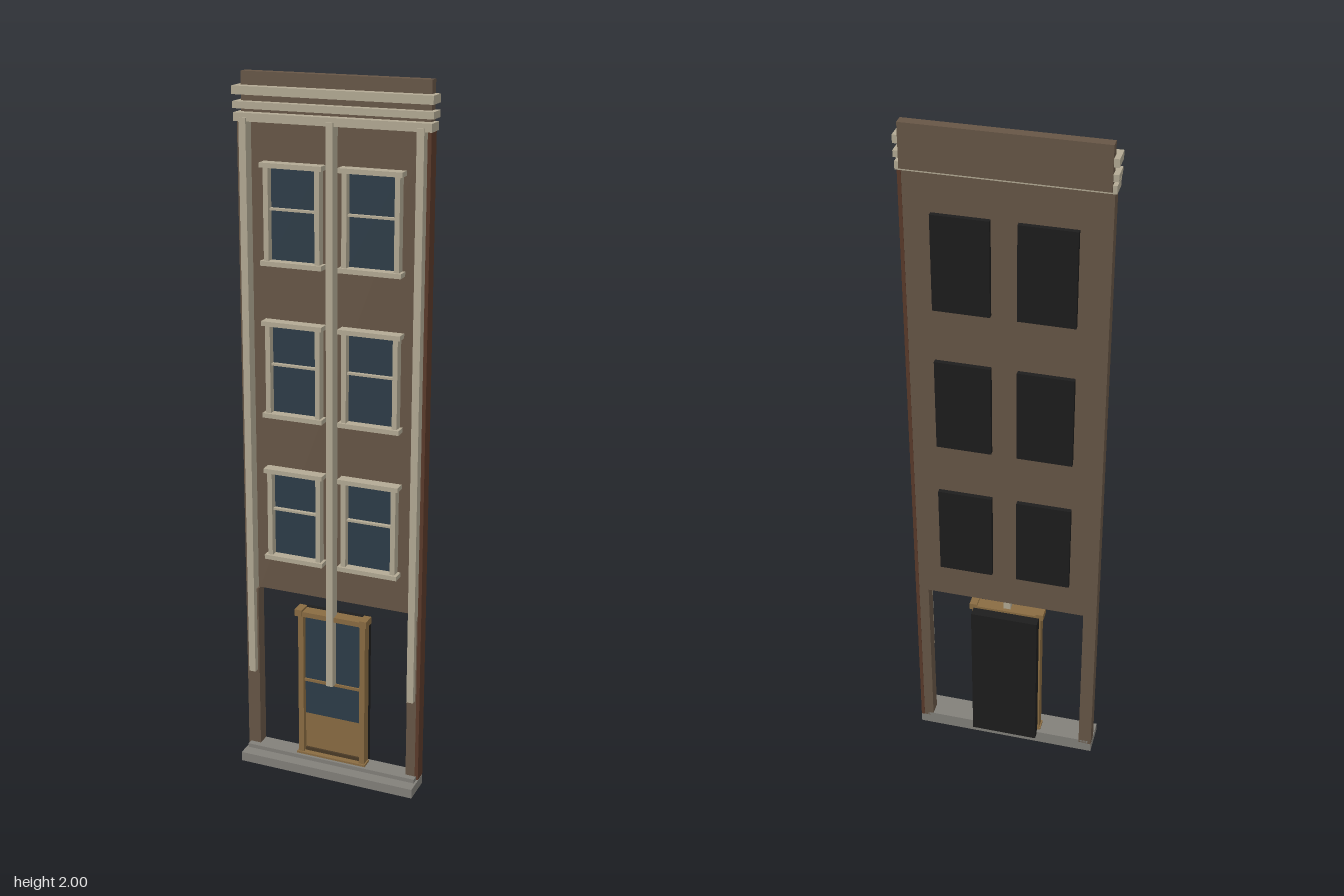
import * as THREE from 'three';

const mat = (name, color) => {
  const m = new THREE.MeshStandardMaterial({ color });
  m.name = name;
  return m;
};

export function createModel() {
  const model = new THREE.Group();
  model.name = 'townhouseFacade';
  const brick = mat('brownBrick', 0x675646);
  const sideBrick = mat('redBrownBrick', 0x5a3a2a);
  const trim = mat('paleStone', 0xb3aa94);
  const stone = mat('greyStone', 0x82807a);
  const wood = mat('tanWood', 0x8a6c42);
  const darkWood = mat('darkWood', 0x4a3a26);
  const glass = mat('blueGlass', 0x2d3c48);
  const black = mat('blackBacking', 0x1d1d1d);

  // Box given by its extents on each axis
  const box = (parent, name, material, x0, x1, y0, y1, z0, z1) => {
    const mesh = new THREE.Mesh(new THREE.BoxGeometry(x1 - x0, y1 - y0, z1 - z0), material);
    mesh.position.set((x0 + x1) / 2, (y0 + y1) / 2, (z0 + z1) / 2);
    mesh.name = name;
    parent.add(mesh);
    return mesh;
  };

  // Base slab and step
  box(model, 'baseSlab', stone, -0.268, 0.268, 0, 0.028, -0.037, 0.053);
  box(model, 'baseStep', stone, -0.262, 0.262, 0.028, 0.04, -0.037, 0.018);

  // Wall standing on two legs, open at street level
  const outline = [[-0.262, 0.03], [-0.23, 0.03], [-0.23, 0.545], [0.23, 0.545],
    [0.23, 0.03], [0.262, 0.03], [0.262, 1.9], [-0.262, 1.9]];
  const wallShape = new THREE.Shape(outline.map(([x, y]) => new THREE.Vector2(x, y)));
  const wall = new THREE.Mesh(
    new THREE.ExtrudeGeometry(wallShape, { depth: 0.022, bevelEnabled: false }), brick);
  wall.position.z = -0.037;
  wall.name = 'wall';
  model.add(wall);
  box(model, 'parapet', brick, -0.262, 0.262, 1.88, 2, -0.043, -0.015);

  // Side piers and the long thin pilasters
  for (const s of [-1, 1]) {
    box(model, 'sidePier', s > 0 ? sideBrick : brick,
      s * 0.263 - 0.005, s * 0.263 + 0.005, 0.03, 1.88, -0.038, 0);
    box(model, 'legFace', brick, s * 0.244 - 0.014, s * 0.244 + 0.014, 0.03, 0.545, -0.016, 0);
  }
  for (const x of [-0.245, 0, 0.245]) {
    box(model, 'pilaster', trim, x - 0.01, x + 0.01, 0.285, 1.885, -0.015, 0.018);
  }

  // Stacked cornice bands
  [[1.943, 1.965, 0.276, 0.013], [1.907, 1.925, 0.276, 0.009], [1.875, 1.897, 0.273, 0.012]]
    .forEach(([y0, y1, w, z]) => box(model, 'corniceBand', trim, -w, w, y0, y1, -0.04, z));

  // Sash window, centred on x with its sill bottom at y
  const addWindow = (x, y) => {
    const g = new THREE.Group();
    g.name = 'window';
    g.position.set(x, y, 0);
    box(g, 'backing', black, -0.076, 0.076, 0, 0.27, -0.05, -0.036);
    box(g, 'glass', glass, -0.07, 0.07, 0.01, 0.262, -0.016, -0.01);
    box(g, 'sill', trim, -0.088, 0.088, 0, 0.013, -0.015, 0.018);
    box(g, 'hood', trim, -0.088, 0.088, 0.26, 0.273, -0.015, 0.018);
    for (const s of [-1, 1]) {
      box(g, 'jamb', trim, s * 0.073 - 0.007, s * 0.073 + 0.007, 0.013, 0.26, -0.015, 0.011);
    }
    box(g, 'meetingRail', trim, -0.066, 0.066, 0.147, 0.153, -0.012, 0.002);
    model.add(g);
  };
  for (const y of [0.652, 1.075, 1.5]) for (const x of [-0.111, 0.111]) addWindow(x, y);

  // Door in its frame
  const door = new THREE.Group();
  door.name = 'door';
  box(door, 'backing', black, -0.098, 0.098, 0.03, 0.495, -0.055, -0.024);
  box(door, 'leaf', wood, -0.09, 0.09, 0.04, 0.49, -0.024, -0.012);
  box(door, 'glass', glass, -0.086, 0.086, 0.17, 0.487, -0.013, -0.008);
  box(door, 'midRail', wood, -0.088, 0.088, 0.276, 0.284, -0.012, -0.003);
  box(door, 'kickPlate', darkWood, -0.085, 0.085, 0.046, 0.056, -0.013, -0.006);
  box(door, 'threshold', wood, -0.107, 0.107, 0.034, 0.046, -0.025, 0.01);
  for (const s of [-1, 1]) {
    box(door, 'jamb', wood, s * 0.095 - 0.008, s * 0.095 + 0.008, 0.04, 0.49, -0.026, 0.005);
    box(door, 'headerEar', wood, s * 0.099 - 0.011, s * 0.099 + 0.011, 0.488, 0.508, -0.026, 0.014);
  }
  box(door, 'header', wood, -0.1, 0.1, 0.487, 0.502, -0.026, 0.01);
  model.add(door);

  return model;
}
